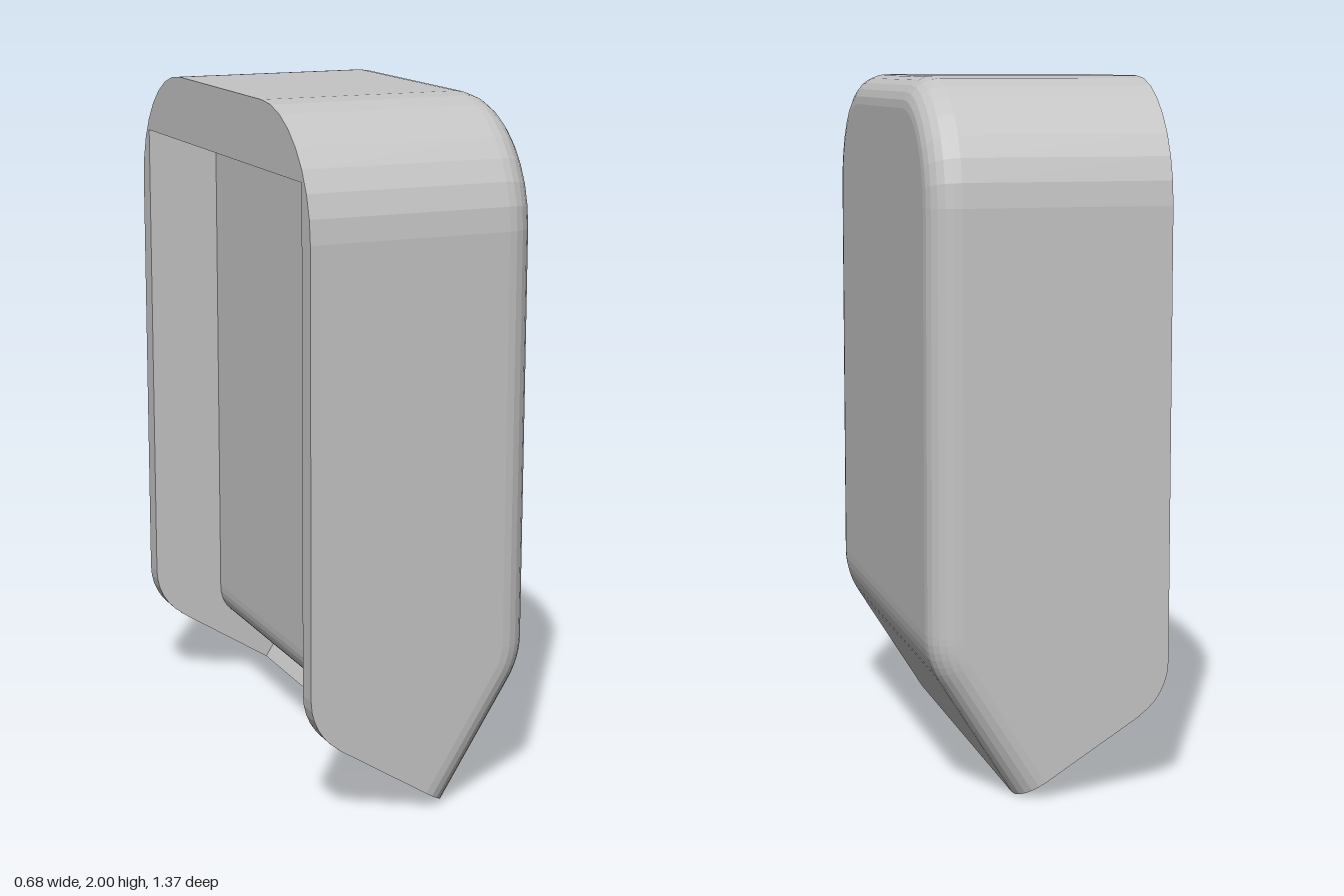
import * as THREE from 'three';

const WIDTH = 0.685, FILLET = 0.09, WALL = 0.06, INNER = WIDTH - WALL;
const BACK = -0.34, FRONT = 0.34, CEILING = 1.81;
const SLANT = 32.5 * Math.PI / 180;

// Stations of one half outline, bottom to top: front point, its normal angle,
// back point, and the angle around the big top corner.
function makeStations() {
  const list = [{ fx: 0.09, fy: 0, a: SLANT, bx: -0.256, by: 0.221, top: 0 }];
  const n = 6;
  for (let i = n; i >= 0; i--) {
    const a = SLANT * i / n, b = (Math.PI / 2 - SLANT) * i / n;
    list.push({
      fx: 0.09 + 0.25 * Math.cos(a), fy: 0.47 - 0.25 * Math.sin(a), a,
      bx: -0.16 - 0.18 * Math.cos(b), by: 0.375 - 0.18 * Math.sin(b), top: 0,
    });
  }
  for (let i = 0; i <= 8; i++) {
    list.push({ fx: FRONT, fy: 1.65, a: 0, bx: BACK, by: 1.65, top: Math.PI / 2 * i / 8 });
  }
  return list;
}

// Turn a half ring into a full one, mirrored in z.
const mirrorRing = (half) => [...half, ...half.map(([x, y, z]) => [x, y, -z]).reverse()];

function shellGeometry() {
  const stations = makeStations();
  const h = stations.length, m = 2 * h;
  const ring = (depth, inset, back) => mirrorRing(stations.map((s) => {
    const r = 0.35 - inset;
    const x = back ? s.bx : s.fx - Math.cos(s.a) * depth;
    const y = back ? s.by : s.fy + Math.sin(s.a) * depth;
    return [x, y + r * Math.sin(s.top), WIDTH - 0.35 + r * Math.cos(s.top)];
  }));
  const inward = (pts) => pts.map(([x, y, z]) =>
    [x, Math.min(y, CEILING), THREE.MathUtils.clamp(z, -INNER, INNER)]);

  // Outer rings run from the open back round the front fillet
  const outer = [ring(0, 0, true)];
  for (let k = 0; k <= 6; k++) {
    const t = Math.PI / 2 * k / 6;
    outer.push(ring(FILLET * (1 - Math.sin(t)), FILLET * (1 - Math.cos(t)), false));
  }
  const innerBack = inward(outer[0]);
  const innerFront = inward(ring(WALL, 0, false));
  const rings = [innerFront, innerBack, ...outer];
  const last = outer[outer.length - 1];

  const pos = [];
  const quad = (a, b, c, d) => pos.push(...a, ...b, ...c, ...a, ...c, ...d);

  // Inner walls, back rim, outer walls and fillet
  for (let k = 0; k < rings.length - 1; k++) {
    for (let j = 0; j < m - 1; j++) {
      quad(rings[k][j], rings[k + 1][j], rings[k + 1][j + 1], rings[k][j + 1]);
    }
  }
  // Front face and its inside
  for (let j = 0; j < h - 1; j++) {
    quad(last[j], last[m - 1 - j], last[m - 2 - j], last[j + 1]);
    quad(innerFront[j + 1], innerFront[m - 2 - j], innerFront[m - 1 - j], innerFront[j]);
  }
  // Slanted bottom rim
  const e = m - 1;
  for (let k = 0; k < outer.length - 1; k++) {
    const qa = k === 0 ? innerBack : innerFront, qb = innerFront;
    quad(qa[0], qb[0], outer[k + 1][0], outer[k][0]);
    quad(outer[k][e], outer[k + 1][e], qb[e], qa[e]);
  }
  quad(innerFront[0], innerFront[e], last[e], last[0]);

  const g = new THREE.BufferGeometry();
  g.setAttribute('position', new THREE.Float32BufferAttribute(pos, 3));
  g.computeVertexNormals();
  return g;
}

// Recessed block filling the shell, with a rounded lower edge
function insertGeometry() {
  const shape = new THREE.Shape();
  shape.moveTo(-0.12, CEILING);
  shape.lineTo(-0.12, 0.3);
  shape.quadraticCurveTo(-0.12, 0.235, -0.07, 0.203);
  shape.lineTo(0.11, 0.088);
  shape.lineTo(0.28, 0.38);
  shape.lineTo(0.28, CEILING);
  shape.closePath();
  const g = new THREE.ExtrudeGeometry(shape, { depth: 2 * INNER, bevelEnabled: false, curveSegments: 6 });
  g.translate(0, 0, -INNER);
  return g;
}

export function createModel() {
  const group = new THREE.Group();
  group.name = 'hollowCover';
  const grey = new THREE.MeshStandardMaterial({ color: 0xc4c4c4, flatShading: true });
  grey.name = 'light grey';

  const shell = new THREE.Mesh(shellGeometry(), grey);
  shell.name = 'shell';
  const insert = new THREE.Mesh(insertGeometry(), grey);
  insert.name = 'recessedPanel';
  group.add(shell, insert);
  return group;
}
